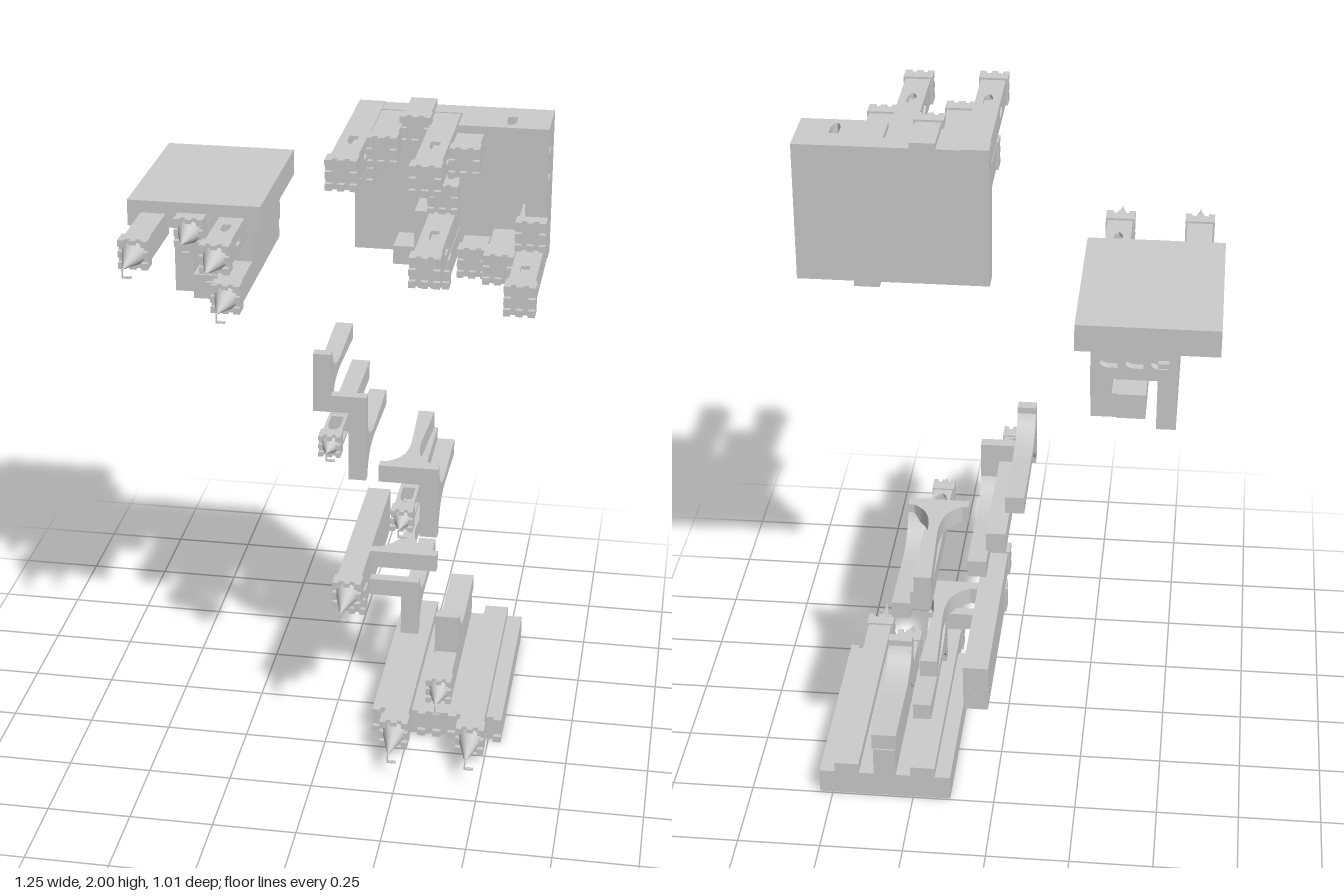
import * as THREE from 'three';

const mat = new THREE.MeshStandardMaterial({ color: 0xcccccc, side: THREE.DoubleSide });

function add(parent, name, geo) {
  const m = new THREE.Mesh(geo, mat);
  m.name = name;
  parent.add(m);
  return m;
}

// Box given by its limits on each axis
function box(parent, name, x0, x1, y0, y1, z0, z1) {
  const m = add(parent, name, new THREE.BoxGeometry(x1 - x0, y1 - y0, z1 - z0));
  m.position.set((x0 + x1) / 2, (y0 + y1) / 2, (z0 + z1) / 2);
  return m;
}

// Pointed window outline, pointing along +u
function arch(u0, u1, v, half) {
  const p = new THREE.Path(), s = u0 + (u1 - u0) * 0.55;
  p.moveTo(u0, v - half);
  p.lineTo(s, v - half);
  p.quadraticCurveTo(u1 - 0.005, v - half * 0.8, u1, v);
  p.quadraticCurveTo(u1 - 0.005, v + half * 0.8, s, v + half);
  p.lineTo(u0, v + half);
  p.closePath();
  return p;
}

// Pierced plate in the z-y plane, its thickness running from x = 0 to -t
function plate(z0, z1, y0, y1, t, holes) {
  const s = new THREE.Shape([[z0, y0], [z1, y0], [z1, y1], [z0, y1]].map(p => new THREE.Vector2(...p)));
  s.holes.push(...holes);
  return new THREE.ExtrudeGeometry(s, { depth: t, bevelEnabled: false, curveSegments: 6 }).rotateY(-Math.PI / 2);
}

// Sideways tower: shaft, crenellated head, optional spire; windows are [start, end] along z
function tower(parent, x, y, z0, z1, { w = 0.075, spire = 0, windows = [], half = 0.013, name = 'tower' } = {}) {
  const g = new THREE.Group(), hs = w * 1.16, neck = z1 - 0.055;
  g.name = name;
  g.position.set(x, y, 0);
  parent.add(g);
  if (windows.length) {
    for (let i = 0; i < 4; i++) {
      const holes = windows.map(([a, b]) => arch(a, b, 0, half));
      const p = add(g, 'shaftSide', plate(z0, neck, -w / 2, w / 2, 0.01, holes).translate(w / 2, 0, 0));
      p.rotation.z = i * Math.PI / 2;
    }
    box(g, 'shaftEnd', -w / 2, w / 2, -w / 2, w / 2, z0, z0 + 0.01);
  } else box(g, 'shaft', -w / 2, w / 2, -w / 2, w / 2, z0, neck);
  box(g, 'head', -hs / 2, hs / 2, -hs / 2, hs / 2, neck, z1 - 0.015);
  const m = hs * 0.11;
  for (let i = -1; i <= 1; i++) for (let j = -1; j <= 1; j++) {
    if (!i && !j) continue;
    const cx = i * (hs / 2 - m), cy = j * (hs / 2 - m);
    box(g, 'merlon', cx - m, cx + m, cy - m, cy + m, z1 - 0.015, z1);
  }
  if (spire) {
    const len = spire - z1 + 0.015;
    const c = add(g, 'spire', new THREE.ConeGeometry(w * 0.47, len, 24));
    c.rotation.x = Math.PI / 2;
    c.position.z = z1 - 0.015 + len / 2;
    box(g, 'flagPole', -0.002, 0.002, -0.002, 0.002, spire - 0.03, spire + 0.005);
    box(g, 'flag', 0, 0.025, -0.025, -0.021, spire - 0.008, spire + 0.004);
    box(g, 'flagArm', -0.002, 0.002, -0.025, 0.002, spire, spire + 0.004);
  }
  return g;
}

// Buttress arm flaring into its wall, slim in the middle, slightly wider at the far end
function arm(parent, x, y, half, t, flat = false) {
  const s = new THREE.Shape();
  s.moveTo(0.09, -half);
  s.bezierCurveTo(0.12, -half * 0.3, 0.16, -0.016, 0.25, -0.015);
  s.lineTo(0.49, -0.026);
  s.lineTo(0.49, 0.026);
  s.lineTo(0.25, 0.015);
  s.bezierCurveTo(0.16, 0.016, 0.12, half * 0.3, 0.09, half);
  s.closePath();
  const geo = new THREE.ExtrudeGeometry(s, { depth: t, bevelEnabled: false, curveSegments: 16 });
  geo.translate(0, 0, -t / 2).rotateY(Math.PI / 2);
  if (flat) geo.rotateZ(Math.PI / 2);
  add(parent, 'buttressArm', geo).position.set(x, y, 0);
}

function wall(parent, x0, x1, y0, y1) {
  box(parent, 'wall', x0, x1, y0, y1, -0.1, -0.065);
}

function section(root, name) {
  const g = new THREE.Group();
  g.name = name;
  root.add(g);
  return g;
}

export function createModel() {
  const root = new THREE.Group();
  root.name = 'floatingCastle';

  // Upper keep: back block, corner walls with windows, bundles of towers
  const keep = section(root, 'keep');
  box(keep, 'backBlock', 0.05, 0.615, 1.555, 1.98, -0.065, 0.005);
  add(keep, 'sideWall', plate(0, 0.12, 1.72, 1.98, 0.06, [1.91, 1.83].map(y => arch(0.02, 0.105, y, 0.013))))
    .position.x = 0.615;
  add(keep, 'topWall', plate(0, 0.12, -0.555, -0.36, 0.06, [arch(0.02, 0.095, -0.505, 0.014)])
    .rotateZ(Math.PI / 2)).position.y = 1.98;
  box(keep, 'lowerWall', 0.18, 0.28, 1.555, 1.61, 0, 0.12);
  box(keep, 'innerWall', 0.24, 0.285, 1.61, 1.72, 0, 0.12);
  const keepTowers = [ // x, y, end, windows
    [0.09, 1.945, 0.505, [[0.27, 0.34]]], [0.165, 1.94, 0.28], [0.24, 1.96, 0.14],
    [0.317, 1.94, 0.505, [[0.27, 0.34]]], [0.395, 1.92, 0.28], [0.09, 1.863, 0.22],
    [0.32, 1.757, 0.13], [0.32, 1.68, 0.505, [[0.27, 0.35]]], [0.32, 1.6, 0.3],
    [0.41, 1.575, 0.14], [0.495, 1.6, 0.245], [0.577, 1.6, 0.47, [[0.29, 0.37]]],
    [0.577, 1.68, 0.18, [[0.04, 0.11]]]
  ];
  for (const [x, y, z, windows = []] of keepTowers) tower(keep, x, y, -0.065, z, { windows });

  // Roof slab with spired towers and the hooked block beneath it
  const hall = section(root, 'hall');
  box(hall, 'roofSlab', -0.625, -0.225, 1.595, 1.675, -0.5, 0.04);
  for (const [x, z, tip] of [[-0.547, 0.295, 0.41], [-0.43, 0.095, 0.19], [-0.31, 0.295, 0.41]])
    tower(hall, x, 1.6, 0, z, { spire: tip, windows: x === -0.31 ? [[0.1, 0.16]] : [] });
  box(hall, 'hangingWall', -0.51, -0.455, 1.355, 1.56, -0.49, -0.065);
  box(hall, 'hookWall', -0.33, -0.27, 1.45, 1.51, -0.49, -0.065);
  box(hall, 'beam', -0.51, -0.27, 1.51, 1.6, -0.47, -0.065);
  const back = new THREE.Shape([[-0.51, 1.51], [-0.27, 1.51], [-0.27, 1.6], [-0.51, 1.6]].map(p => new THREE.Vector2(...p)));
  for (let i = -1; i <= 1; i++) back.holes.push(arch(-0.415 + i * 0.07, -0.365 + i * 0.07, 1.56, 0.014));
  add(hall, 'windowWall', new THREE.ExtrudeGeometry(back, { depth: 0.03, bevelEnabled: false })).position.z = -0.495;
  tower(hall, -0.31, 1.425, -0.49, 0.16, { spire: 0.275 });
  box(hall, 'plainTower', -0.425, -0.345, 1.385, 1.46, -0.49, 0.06);

  // Upper stair-shaped wall with two arms and a lantern tower
  const upper = section(root, 'upperStep');
  wall(upper, -0.09, -0.035, 0.985, 1.175);
  wall(upper, -0.035, 0.075, 0.985, 1.04);
  wall(upper, 0.02, 0.075, 0.76, 0.985);
  arm(upper, -0.0625, 1.08, 0.095, 0.055);
  arm(upper, 0.0475, 0.855, 0.095, 0.055);
  box(upper, 'beam', -0.037, 0.02, 0.92, 0.98, -0.49, -0.065);
  tower(upper, -0.01, 0.95, -0.068, 0.11, { w: 0.058, spire: 0.155, windows: [[-0.05, 0.05]], half: 0.02, name: 'lanternTower' });

  // Middle corner wall
  const middle = section(root, 'middleStep');
  wall(middle, 0.115, 0.3, 0.76, 0.815);
  wall(middle, 0.245, 0.3, 0.58, 0.76);
  arm(middle, 0.2075, 0.7875, 0.0925, 0.055, true);
  arm(middle, 0.2725, 0.695, 0.115, 0.055);
  box(middle, 'beam', 0.185, 0.245, 0.7, 0.76, -0.49, -0.065);
  tower(middle, 0.215, 0.73, -0.068, 0.135, { w: 0.058, spire: 0.19, windows: [[-0.04, 0.06]], half: 0.02, name: 'lanternTower' });

  // Lower step: deep double tower with arms
  const lower = section(root, 'lowerStep');
  wall(lower, 0.09, 0.3, 0.46, 0.515);
  wall(lower, 0.09, 0.245, 0.36, 0.415);
  wall(lower, 0.19, 0.245, 0.23, 0.36);
  arm(lower, 0.195, 0.4875, 0.105, 0.055, true);
  arm(lower, 0.2175, 0.325, 0.09, 0.055);
  tower(lower, 0.052, 0.475, -0.51, 0.165, { spire: 0.275 });
  tower(lower, 0.052, 0.4, -0.51, 0.065, { w: 0.074 });

  // Base slab with three towers and a standing wall
  const base = section(root, 'base');
  box(base, 'baseSlab', 0.135, 0.54, 0, 0.08, -0.495, 0.15);
  for (let i = 0; i < 9; i++) for (const y of [0, 0.06]) {
    const x = 0.135 + i * 0.0475;
    box(base, 'merlon', x, x + 0.025, y, y + 0.02, 0.15, 0.165);
  }
  for (const x of [0.22, 0.455]) tower(base, x, 0.075, -0.495, 0.295, { spire: 0.41 });
  tower(base, 0.337, 0.14, -0.495, 0.13, { w: 0.068, spire: 0.21 });
  box(base, 'towerFooting', 0.303, 0.371, 0.07, 0.11, -0.495, 0.075);
  wall(base, 0.3, 0.375, 0.1, 0.3);
  arm(base, 0.3375, 0.2, 0.1, 0.075);

  return root;
}
